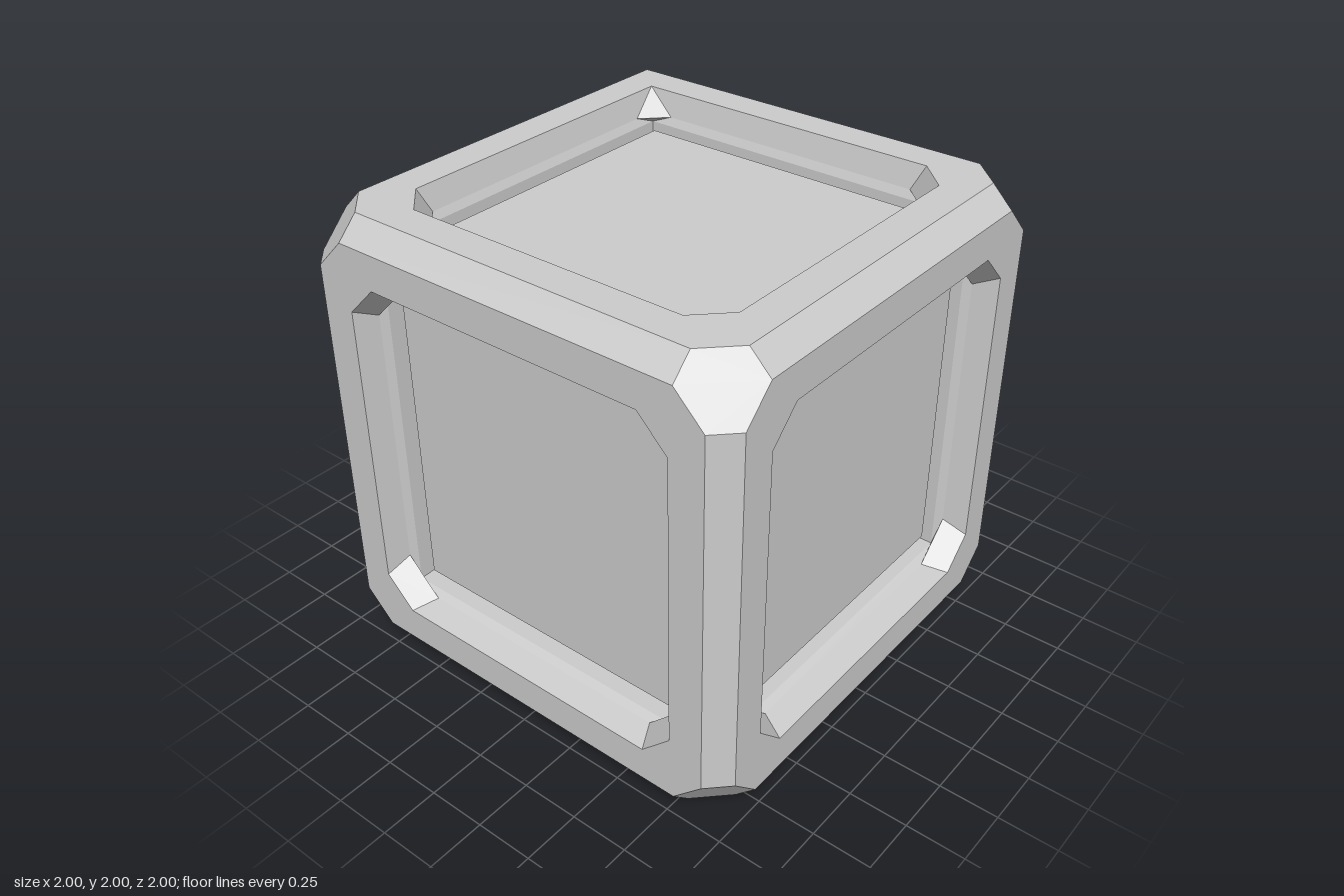
import * as THREE from 'three';

const EDGE = 0.91, CUT = 0.78;   // bevelled edge and clipped corner of each side
const INNER = 0.72;              // inner faces of the hollow cage
const material = () => new THREE.MeshStandardMaterial({ color: 0xcccccc, flatShading: true, side: THREE.DoubleSide });

// One corner, (-x, +y, -z), is left pointed on its top and -x sides
const isSharp = (s, axis) => s[0] < 0 && s[1] > 0 && s[2] < 0 && axis !== 2;

// Point on side i at corner s, lying at distance a along axis j and c along the third axis
function cornerPoint(s, i, j, a, c, height) {
  const p = [0, 0, 0], k = 3 - i - j;
  p[i] = s[i] * height;
  p[j] = s[j] * a;
  p[k] = s[k] * c;
  return new THREE.Vector3(...p);
}
const rim = (s, i, j) => cornerPoint(s, i, j, EDGE, isSharp(s, i) ? EDGE : CUT, 1);

function addFan(list, pts, flip = false) {
  for (let n = 1; n < pts.length - 1; n++) {
    const t = [pts[0], pts[n], pts[n + 1]];
    if (flip) t.reverse();
    const area = t[1].clone().sub(t[0]).cross(t[2].clone().sub(t[0])).length();
    if (area > 1e-7) t.forEach(p => list.push(p.x, p.y, p.z));
  }
}

// Convex outer facet: wound so that it faces away from the centre
function addOutward(list, pts) {
  const normal = new THREE.Vector3(), mid = new THREE.Vector3();
  pts.forEach((p, n) => {
    normal.add(p.clone().cross(pts[(n + 1) % pts.length]));
    mid.add(p);
  });
  addFan(list, pts, normal.dot(mid) < 0);
}

function makeMesh(list, name) {
  const g = new THREE.BufferGeometry();
  g.setAttribute('position', new THREE.Float32BufferAttribute(list, 3));
  g.computeVertexNormals();
  const mesh = new THREE.Mesh(g, material());
  mesh.name = name;
  return mesh;
}

// Eight-point loop around one side; square loops simply double each corner
function sideLoop(i, sign, { a, c, sharpC = c, height }) {
  const j = (i + 1) % 3, k = (i + 2) % 3, pts = [];
  [[1, 1], [-1, 1], [-1, -1], [1, -1]].forEach(([sj, sk], n) => {
    const s = [];
    s[i] = sign; s[j] = sj; s[k] = sk;
    const small = isSharp(s, i) ? sharpC : c;
    const pair = [cornerPoint(s, i, j, a, small, height), cornerPoint(s, i, k, a, small, height)];
    pts.push(...(n % 2 ? pair.reverse() : pair));
  });
  return pts;
}

function addBand(list, outer, inner, flip) {
  outer.forEach((p, n) => {
    const m = (n + 1) % outer.length;
    addFan(list, [p, outer[m], inner[m], inner[n]], flip);
  });
}

export function createModel() {
  const group = new THREE.Group();
  const body = new THREE.Group();
  body.name = 'crate';
  body.position.y = 1;
  group.add(body);

  // Bevels along the twelve edges
  const bevels = [];
  for (let k = 0; k < 3; k++) {
    const i = (k + 1) % 3, j = (k + 2) % 3;
    for (const si of [-1, 1]) for (const sj of [-1, 1]) {
      const s = [], t = [];
      s[i] = t[i] = si; s[j] = t[j] = sj; s[k] = 1; t[k] = -1;
      addOutward(bevels, [rim(s, i, j), rim(s, j, i), rim(t, j, i), rim(t, i, j)]);
    }
  }
  body.add(makeMesh(bevels, 'edgeBevels'));

  // Clipped corners
  const corners = [];
  for (const x of [-1, 1]) for (const y of [-1, 1]) for (const z of [-1, 1]) {
    const s = [x, y, z];
    addOutward(corners, [[0, 1], [1, 0], [1, 2], [2, 1], [2, 0], [0, 2]].map(([i, j]) => rim(s, i, j)));
  }
  body.add(makeMesh(corners, 'cornerFacets'));

  // Six sides of the cage: flat frame, sloped opening, then a square hole down to the inner faces
  const names = [['rightSide', 'leftSide'], ['bottom', 'top'], ['back', 'front']];
  for (let i = 0; i < 3; i++) for (const sign of [-1, 1]) {
    const side = names[i][(sign + 1) / 2], flip = sign < 0;
    const loops = [
      { a: EDGE, c: CUT, sharpC: EDGE, height: 1 },
      { a: 0.76, c: 0.63, sharpC: 0.76, height: 1 },
      { a: 0.735, c: 0.58, sharpC: 0.63, height: 0.895 },
      { a: INNER, c: INNER, height: 0.86 },
      { a: INNER, c: INNER, height: INNER },
    ].map(o => sideLoop(i, sign, o));
    const frame = [], opening = [];
    addBand(frame, loops[0], loops[1], flip);
    for (let n = 1; n < 4; n++) addBand(opening, loops[n], loops[n + 1], flip);
    body.add(makeMesh(frame, side + 'Frame'), makeMesh(opening, side + 'Opening'));
  }

  // Three crossing blocks inside the cage; their ends are the six panels, with a gap all round
  [
    ['sidePanels', 1.69, 1.3, 1.31],
    ['topAndBottomPanels', 1.34, 1.69, 1.34],
    ['frontAndBackPanels', 1.3, 1.3, 1.69],
  ].forEach(([name, ...size]) => {
    const block = new THREE.Mesh(new THREE.BoxGeometry(...size), material());
    block.name = name;
    body.add(block);
  });
  return group;
}
